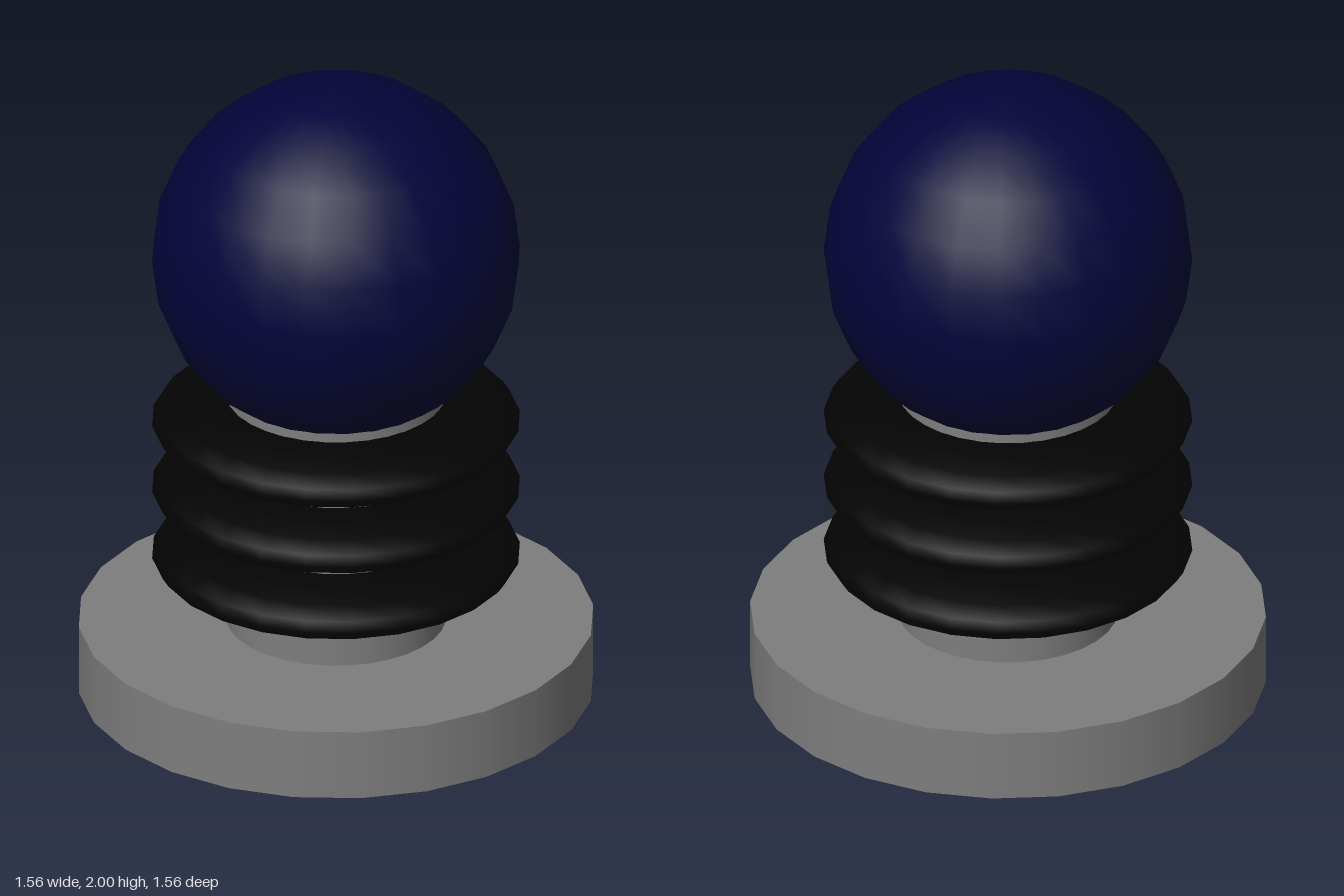
import * as THREE from 'three';

export function createModel() {
  const model = new THREE.Group();
  const grey = new THREE.MeshStandardMaterial({ color: 0x7e7e7e });
  const black = new THREE.MeshStandardMaterial({ color: 0x030303 });
  const blue = new THREE.MeshStandardMaterial({ color: 0x03033a });

  const add = (name, geometry, material, y) => {
    const mesh = new THREE.Mesh(geometry, material);
    mesh.name = name;
    mesh.position.y = y;
    model.add(mesh);
  };

  // Round foot
  add('base', new THREE.CylinderGeometry(0.778, 0.778, 0.222, 24), grey, 0.111);

  // Stem from the foot into the ball
  add('stem', new THREE.CylinderGeometry(0.333, 0.333, 0.889, 32), grey, 0.667);

  // Three lens-shaped discs around the stem
  const disc = new THREE.SphereGeometry(0.556, 24, 12).scale(1, 0.2, 1);
  [0.444, 0.667, 0.889].forEach((y, i) => add(`disc${i + 1}`, disc, black, y));

  // Ball on top
  add('ball', new THREE.SphereGeometry(0.556, 24, 12), blue, 1.444);

  return model;
}
